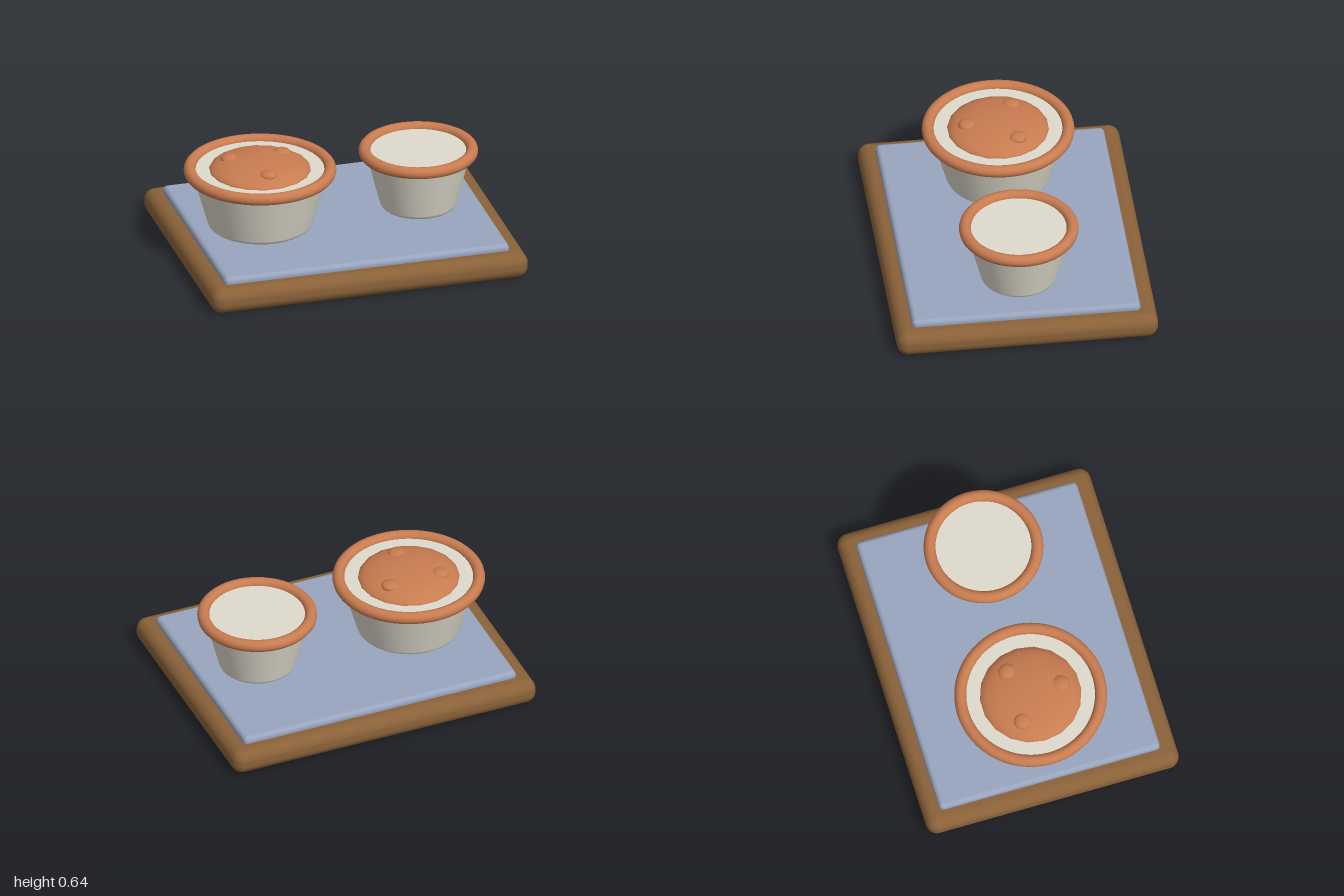
import * as THREE from 'three';
import { RoundedBoxGeometry } from 'three/addons/geometries/RoundedBoxGeometry.js';

const paint = (color) => new THREE.MeshStandardMaterial({ color });
const wood = paint(0x8b6239);
const cloth = paint(0x98a5be);
const ceramic = paint(0xdedacc);
const terracotta = paint(0xc97c50);

function add(parent, name, geometry, material, x = 0, y = 0, z = 0) {
  const mesh = new THREE.Mesh(geometry, material);
  mesh.name = name;
  mesh.position.set(x, y, z);
  parent.add(mesh);
  return mesh;
}

// Tapered dish with a rounded foot, a filled top and a thick rolled rim
function makeDish(name, x, footRadius, topRadius, rimRadius) {
  const dish = new THREE.Group();
  dish.name = name;
  dish.position.x = x;

  const profile = [
    [0, 0.2], [footRadius - 0.035, 0.2], [footRadius - 0.018, 0.204],
    [footRadius - 0.006, 0.214], [footRadius, 0.228], [topRadius, 0.53], [topRadius + 0.011, 0.57],
  ].map(([r, y]) => new THREE.Vector2(r, y));
  add(dish, 'dishBody', new THREE.LatheGeometry(profile, 48), ceramic);

  const filling = new THREE.CircleGeometry(rimRadius, 48).rotateX(-Math.PI / 2);
  add(dish, 'filling', filling, ceramic, 0, 0.57, 0);

  const rim = new THREE.TorusGeometry(rimRadius, 0.037, 14, 64).rotateX(Math.PI / 2);
  add(dish, 'rim', rim, terracotta, 0, 0.565, 0);
  return dish;
}

export function createModel() {
  const model = new THREE.Group();
  model.name = 'servingTray';

  // Wooden tray and cloth mat
  add(model, 'tray', new RoundedBoxGeometry(2, 0.16, 1.6, 5, 0.07), wood, 0, 0.08, 0);
  add(model, 'mat', new RoundedBoxGeometry(1.8, 0.08, 1.4, 4, 0.03), cloth, 0, 0.16, 0);

  // Two dishes
  const large = makeDish('largeDish', -0.48, 0.32, 0.405, 0.427);
  const small = makeDish('smallDish', 0.52, 0.235, 0.312, 0.327);
  model.add(large, small);

  // Domed crust with three flattened lumps
  const crust = new THREE.SphereGeometry(0.315, 18, 12).scale(1, 0.08 / 0.315, 1);
  add(large, 'crust', crust, terracotta, 0, 0.56, 0);
  const lump = new THREE.SphereGeometry(0.054, 20, 12).scale(1, 0.48, 1);
  for (const [x, z] of [[-0.165, -0.1], [0.165, -0.1], [0, 0.19]]) {
    add(large, 'crustLump', lump, terracotta, x, 0.615, z);
  }
  return model;
}
